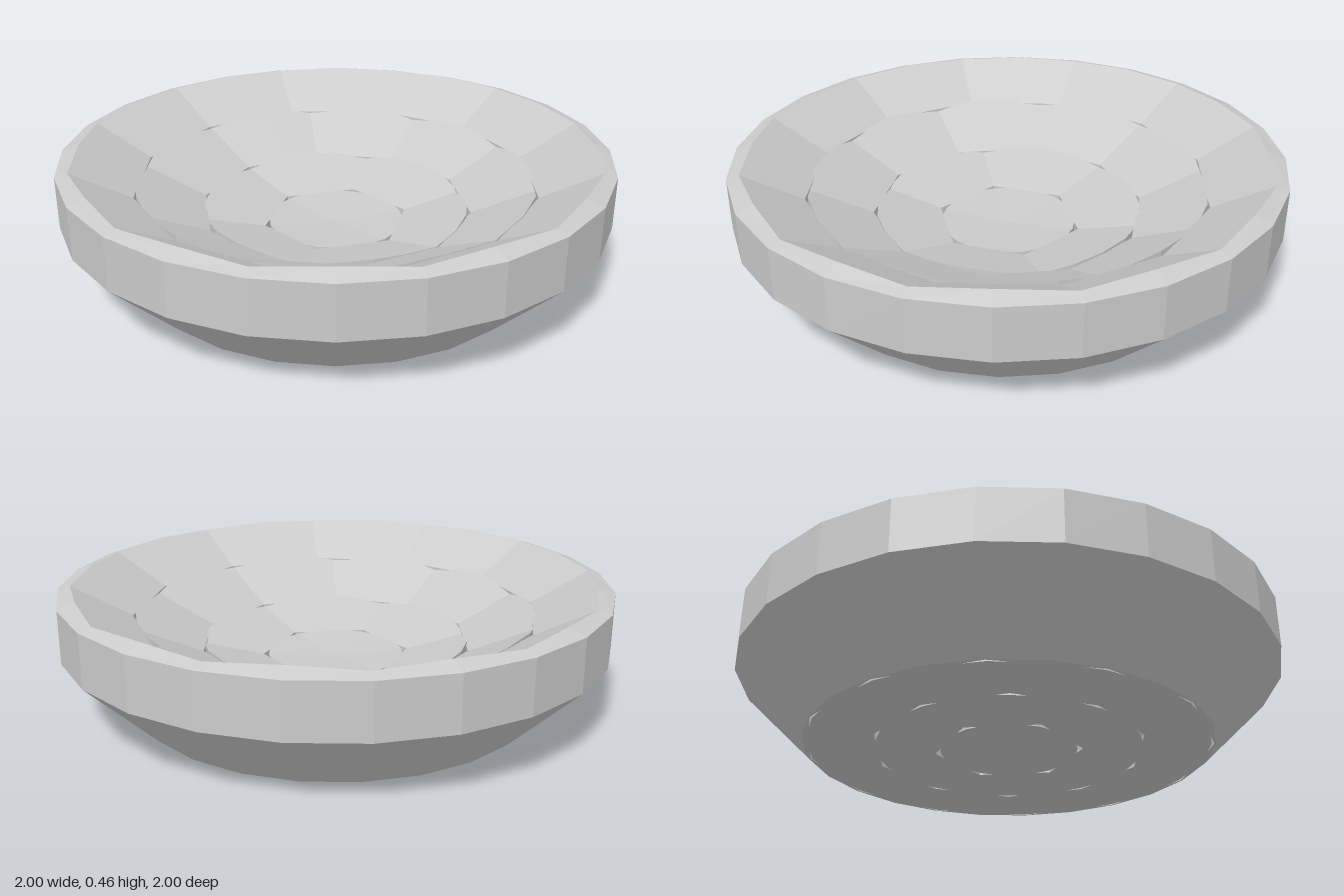
import * as THREE from 'three';

const material = new THREE.MeshStandardMaterial({ color: 0xcccccc, flatShading: true });

// Radius at angle t of a regular n-gon with unit corner radius, one corner on +x
function ngon(n, t) {
  const step = (Math.PI * 2) / n;
  const a = t - Math.floor(t / step + 1e-6) * step;
  return Math.cos(step / 2) / Math.cos(a - step / 2);
}

// Skins a closed cross-section round the y axis; section(t) returns [radius, y] points,
// running up the outside and down the inside
function ringMesh(name, steps, section) {
  const loops = [];
  for (let i = 0; i < steps; i++) {
    const t = (i / steps) * Math.PI * 2;
    loops.push(section(t, i).map(([r, y]) => new THREE.Vector3(r * Math.cos(t), y, -r * Math.sin(t))));
  }
  const points = [];
  const triangle = (a, b, c) => {
    const area = b.clone().sub(a).cross(c.clone().sub(a)).length();
    if (area > 1e-8) points.push(a, b, c);
  };
  for (let i = 0; i < steps; i++) {
    const p = loops[i];
    const q = loops[(i + 1) % steps];
    for (let j = 0; j < p.length; j++) {
      const k = (j + 1) % p.length;
      triangle(p[j], q[j], q[k]);
      triangle(p[j], q[k], p[k]);
    }
  }
  const geometry = new THREE.BufferGeometry().setFromPoints(points);
  geometry.computeVertexNormals();
  const mesh = new THREE.Mesh(geometry, material);
  mesh.name = name;
  return mesh;
}

export function createModel() {
  const group = new THREE.Group();
  group.name = 'bowl';

  // Outer wall: 24 sides outside, 12 sides inside, with a wavy sloping lip
  group.add(ringMesh('outerWall', 24, (t, i) => {
    const outer = ngon(24, t);
    const inner = 0.74 * ngon(12, t);
    const lip = i % 2 ? [0.938, 0.462] : [0.955, 0.453];
    return [[0.745 * outer, 0], [outer, 0.25], [outer, 0.44], lip, [inner, 0.335], [inner, 0]];
  }));

  // Nested floor pieces: round outside, faceted sloping top, polygonal hole
  const floors = [
    { name: 'outerFloorRing', sides: 10, outer: 0.73, hole: 0.5, y: 0.225, slope: 0.46 },
    { name: 'innerFloorRing', sides: 6, outer: 0.488, hole: 0.27, y: 0.168, slope: 0.24 },
    { name: 'centerDisc', sides: 6, outer: 0.25, hole: 0, y: 0.152, slope: 0.06 },
  ];
  for (const f of floors) {
    group.add(ringMesh(f.name, 120, (t) => {
      const outer = f.outer * ngon(24, t);
      const facet = ngon(f.sides, t);
      const top = f.y + f.slope * (outer / facet - f.hole);
      return [[outer, 0], [outer, top], [f.hole * facet, f.y], [f.hole * facet, 0]];
    }));
  }
  return group;
}
